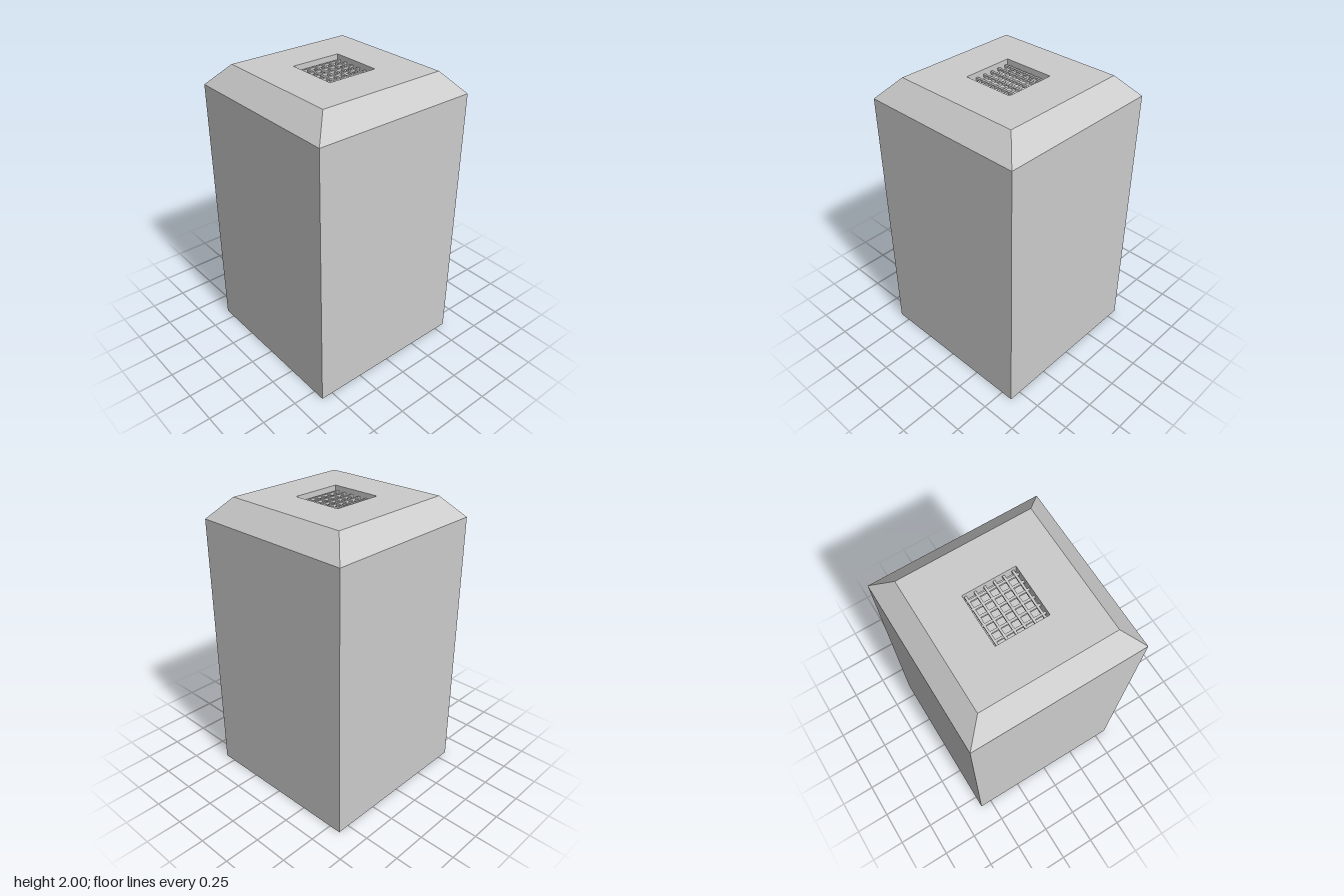
import * as THREE from 'three';

const HOLE = 0.178; // half width of the square recess
const FLOOR = 1.92; // height of the recess floor

export function createModel() {
  const group = new THREE.Group();
  const material = new THREE.MeshStandardMaterial({ color: 0xcccccc, flatShading: true });

  // Square body: base, walls, bevelled shoulder, top and recess in one four-sided lathe
  const profile = [
    [0, 0], [0.585, 0], [0.585, 1.86], [0.453, 2],
    [HOLE, 2], [HOLE, FLOOR], [0, FLOOR],
  ].map(([half, y]) => new THREE.Vector2(half * Math.SQRT2, y));
  const bodyGeometry = new THREE.LatheGeometry(profile, 4).rotateY(Math.PI / 4).toNonIndexed();
  bodyGeometry.computeVertexNormals();
  const body = new THREE.Mesh(bodyGeometry, material);
  body.name = 'body';
  group.add(body);

  // Grate of crossed bars set into the recess
  const grate = new THREE.Group();
  grate.name = 'grate';
  const addBar = (name, width, depth, x, y, z) => {
    const bar = new THREE.Mesh(new THREE.BoxGeometry(width, 0.016, depth), material);
    bar.name = name;
    bar.position.set(x, y, z);
    grate.add(bar);
  };
  for (let i = 0; i < 6; i++) {
    addBar('lengthBar', 0.015, HOLE * 2, -0.139 + i * 0.0568, 1.955, 0);
    addBar('crossBar', HOLE * 2, 0.015, 0, 1.96, -0.157 + i * 0.0628);
  }
  group.add(grate);

  return group;
}
